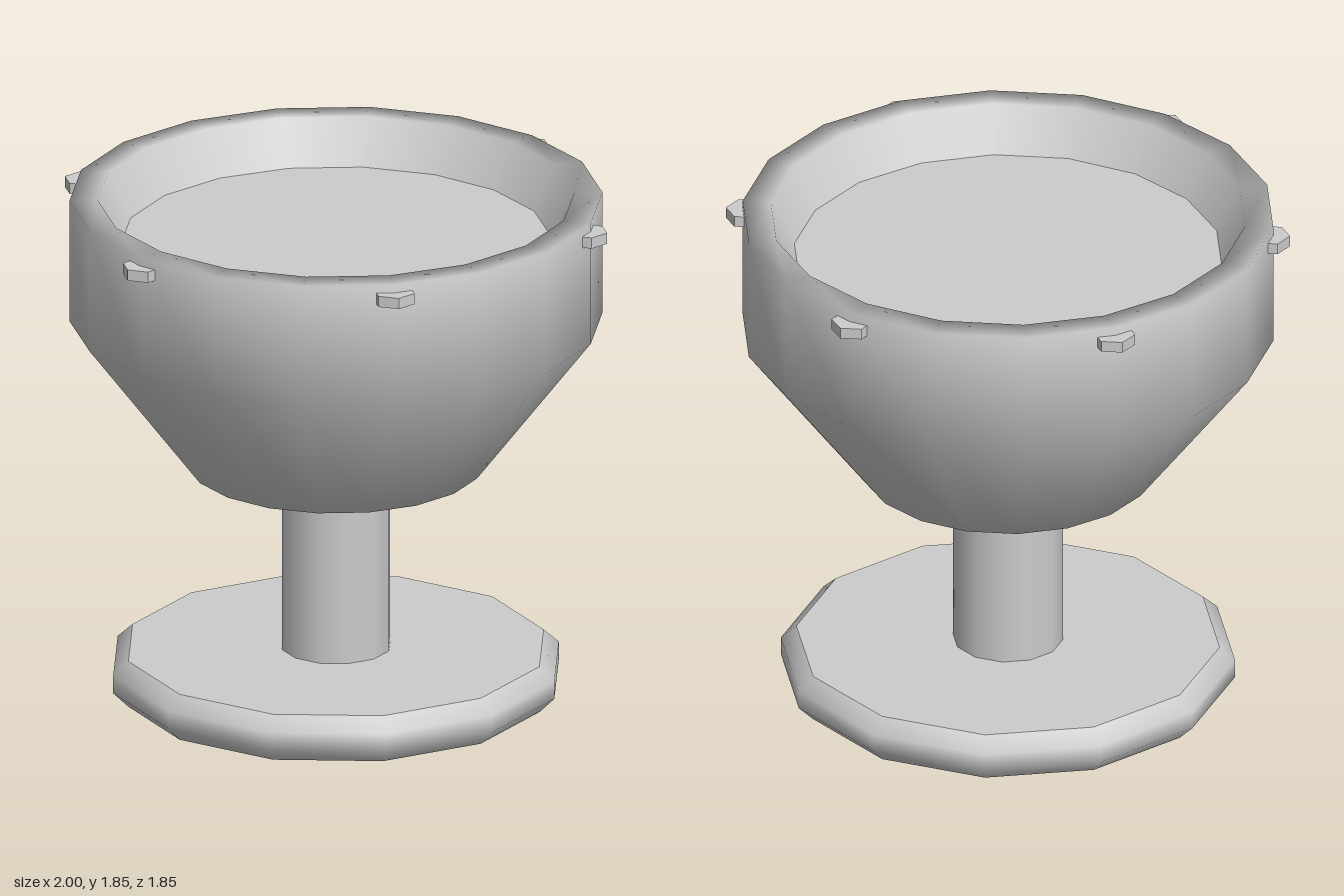
import * as THREE from 'three';

export function createModel() {
  const group = new THREE.Group();
  group.name = 'goblet';
  const grey = new THREE.MeshStandardMaterial({ color: 0xcccccc });
  grey.name = 'plain grey';

  const add = (name, geometry, x = 0, y = 0, z = 0) => {
    const mesh = new THREE.Mesh(geometry, grey);
    mesh.name = name;
    mesh.position.set(x, y, z);
    group.add(mesh);
    return mesh;
  };
  // Turned part with a corner on the +x axis
  const lathe = (points, sides) => new THREE.LatheGeometry(
    points.map(([r, y]) => new THREE.Vector2(r, y)), sides, Math.PI / 2);
  // Flat disc facing up (or down)
  const disc = (name, r, y, sides, up = true) => {
    add(name, new THREE.CircleGeometry(r, sides), 0, y).rotation.x = up ? -Math.PI / 2 : Math.PI / 2;
  };

  // Foot: rounded edge with flat faces
  add('footEdge', lathe([[0.75, 0], [0.805, 0.055], [0.805, 0.12], [0.75, 0.17]], 12));
  disc('footTop', 0.75, 0.17, 12);
  disc('footBottom', 0.75, 0, 12, false);

  // Stem
  add('stem', new THREE.CylinderGeometry(0.195, 0.195, 0.69, 12), 0, 0.505);

  // Bowl: thick shell, open around the stem
  add('bowl', lathe([
    [0.33, 0.85], [0.52, 0.85], [0.94, 1.4], [0.94, 1.85], [0.84, 1.85], [0.33, 0.85],
  ], 18));

  // Contents of the bowl
  disc('liquidSurface', 0.757, 1.69, 18);
  disc('liquidUnderside', 0.747, 1.67, 18, false);

  // Six hexagonal studs below the rim
  for (let i = 0; i < 6; i++) {
    const a = i * Math.PI / 3;
    const stud = new THREE.CylinderGeometry(0.075, 0.075, 0.04, 6);
    stud.rotateY(Math.PI / 2);
    add('rimStud', stud.toNonIndexed(), 0.925 * Math.cos(a), 1.8, 0.925 * Math.sin(a))
      .geometry.computeVertexNormals();
  }
  return group;
}
